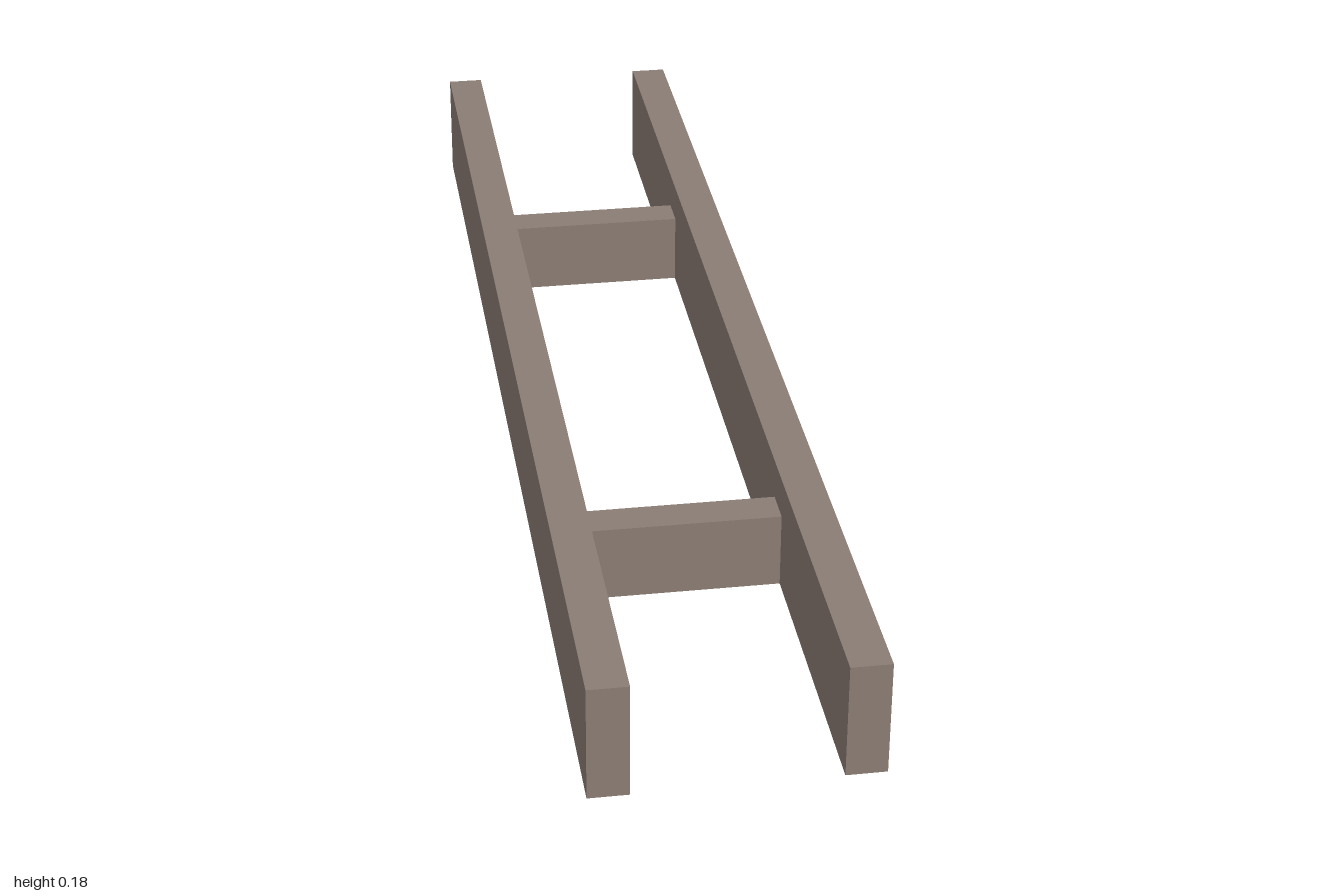
import * as THREE from 'three';

export function createModel() {
  const model = new THREE.Group();
  model.name = 'railFrame';
  const wood = new THREE.MeshStandardMaterial({ color: 0x8b7d74 });
  wood.name = 'greyBrownWood';

  // Box standing on the ground
  const addBeam = (name, width, height, depth, x, z) => {
    const beam = new THREE.Mesh(new THREE.BoxGeometry(width, height, depth), wood);
    beam.name = name;
    beam.position.set(x, height / 2, z);
    model.add(beam);
  };

  const railWidth = 0.059, innerWidth = 0.294;
  const railX = (innerWidth + railWidth) / 2;

  // Long side rails
  addBeam('leftRail', railWidth, 0.177, 2, railX, 0);
  addBeam('rightRail', railWidth, 0.177, 2, -railX, 0);

  // Lower cross members between the rails
  addBeam('frontCrossbar', innerWidth, 0.118, 0.056, 0, 0.5);
  addBeam('backCrossbar', innerWidth, 0.118, 0.056, 0, -0.5);

  return model;
}
